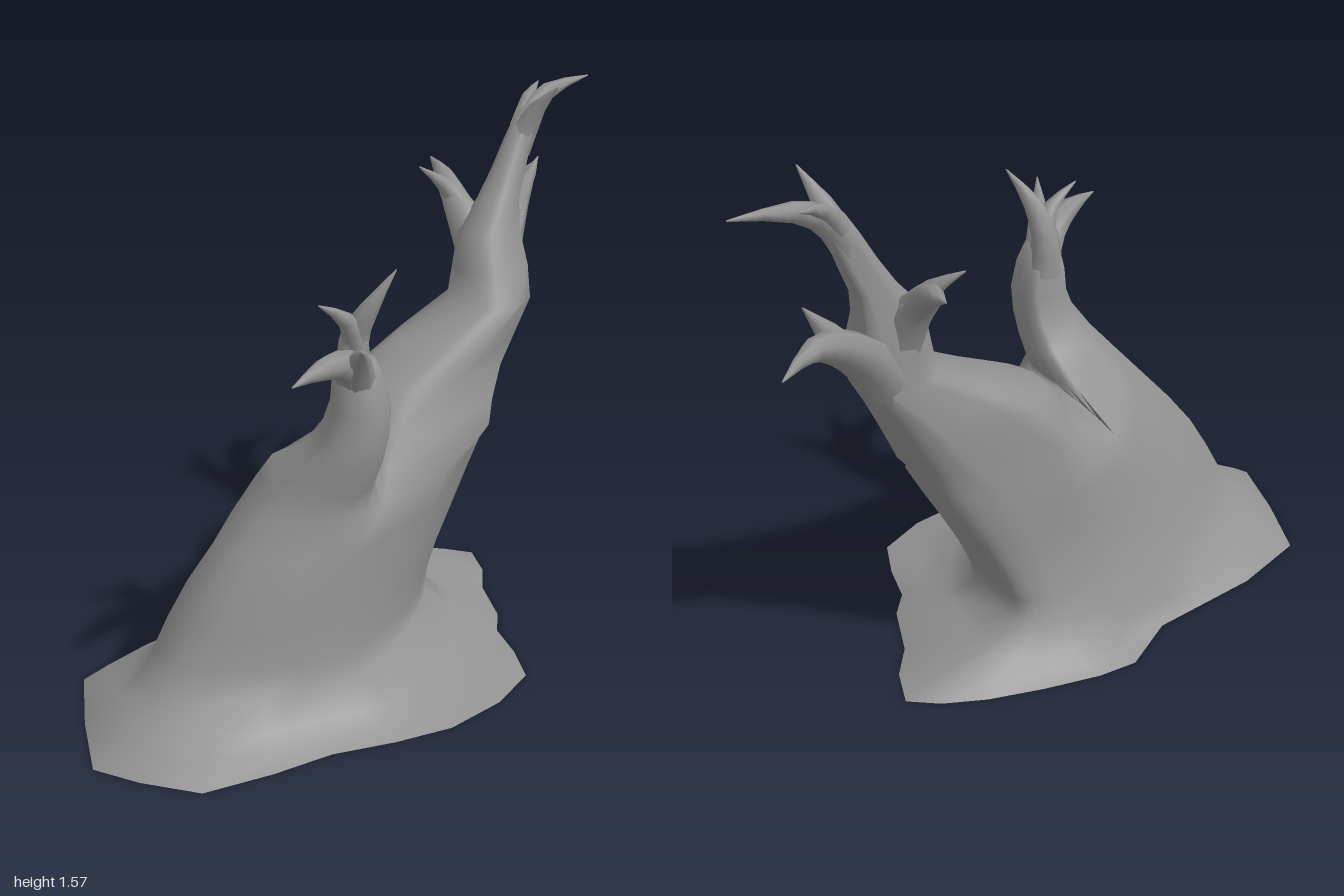
import * as THREE from 'three';
import { mergeGeometries, mergeVertices } from 'three/addons/utils/BufferGeometryUtils.js';

const V = (x, y, z) => new THREE.Vector3(x, y, z);
const material = new THREE.MeshStandardMaterial({ color: 0x929292, side: THREE.DoubleSide });

// Skin a list of rings (arrays of points, all the same length), closing the last one if asked
function loft(rings, closeEnd = true) {
  const n = rings[0].length;
  const pos = rings.flat().flatMap((p) => [p.x, p.y, p.z]);
  const index = [];
  for (let i = 0; i < rings.length - 1; i++) {
    for (let j = 0; j < n; j++) {
      const a = i * n + j, b = i * n + (j + 1) % n;
      index.push(a, a + n, b, b, a + n, b + n);
    }
  }
  if (closeEnd) {
    const last = rings[rings.length - 1];
    const c = last.reduce((s, p) => s.add(p), V(0, 0, 0)).divideScalar(n);
    pos.push(c.x, c.y, c.z);
    const o = (rings.length - 1) * n;
    for (let j = 0; j < n; j++) index.push(o + j, rings.length * n, o + (j + 1) % n);
  }
  const g = new THREE.BufferGeometry();
  g.setAttribute('position', new THREE.Float32BufferAttribute(pos, 3));
  g.setIndex(index);
  return g;
}

function part(name, geometry) {
  geometry.computeVertexNormals();
  const mesh = new THREE.Mesh(geometry, material);
  mesh.name = name;
  return mesh;
}

// Horizontal section from its extents, where the front, left, back and right extremes sit,
// and one squareness exponent per quadrant (1 straight, 2 round, more is boxier)
function section([y, x0, x1, z0, z1, xF = (x0 + x1) / 2, zL = (z0 + z1) / 2, xB = xF, zR = zL], angles, squareness) {
  return angles.map((t) => {
    const c = Math.cos(t), s = Math.sin(t);
    const quadrant = s >= 0 ? (c >= 0 ? 0 : 1) : (c < 0 ? 2 : 3);
    const e = 2 / squareness[quadrant];
    const xm = s >= 0 ? xF : xB, zm = c >= 0 ? zR : zL;
    return V(xm + ((c >= 0 ? x1 : x0) - xm) * Math.abs(c) ** e, y,
      zm + ((s >= 0 ? z1 : z0) - zm) * Math.abs(s) ** e);
  });
}

// Trunk that grows out of an arbitrary base ring into a stack of sections
function trunk(base, sections, squareness) {
  const box = new THREE.Box3().setFromPoints(base);
  const c = box.getCenter(V(0, 0, 0)), s = box.getSize(V(0, 0, 0));
  const angles = base.map((p) => Math.atan2((p.z - c.z) / s.z, (p.x - c.x) / s.x));
  return loft([base, ...sections.map((o) => section(o, angles, squareness))]);
}

// Tapering limb along [x, y, z, radius] points
function limb(stops, sides = 7) {
  const curve = new THREE.CatmullRomCurve3(stops.map((s) => V(s[0], s[1], s[2])));
  const steps = (stops.length - 1) * 2;
  const rings = [];
  for (let i = 0; i <= steps; i++) {
    const t = i / steps, f = t * (stops.length - 1);
    const k = Math.min(Math.floor(f), stops.length - 2);
    const r = THREE.MathUtils.lerp(stops[k][3], stops[k + 1][3], f - k);
    const c = curve.getPoint(t), axis = curve.getTangent(t);
    const u = V(0, 0, 1).addScaledVector(axis, -axis.z).normalize();
    const v = u.clone().cross(axis);
    rings.push(Array.from({ length: sides }, (_, j) => {
      const a = (j / sides) * Math.PI * 2;
      return c.clone().addScaledVector(u, r * Math.cos(a)).addScaledVector(v, r * Math.sin(a));
    }));
  }
  return loft(rings);
}

export function createModel() {
  const group = new THREE.Group();
  group.name = 'treeStump';

  // Irregular rim of the root flare (x, z)
  const rim = [
    [0.47, -0.08], [0.41, 0.09], [0.35, 0.17], [0.32, 0.3], [0.27, 0.43], [0.12, 0.51], [-0.07, 0.55],
    [-0.24, 0.53], [-0.42, 0.49], [-0.6, 0.49], [-0.8, 0.47], [-0.92, 0.34], [-1, 0.22], [-0.93, 0],
    [-0.84, -0.22], [-0.6, -0.31], [-0.42, -0.34], [-0.24, -0.37], [-0.07, -0.48], [0.05, -0.48],
    [0.22, -0.45], [0.38, -0.41], [0.5, -0.36], [0.58, -0.3], [0.54, -0.18],
  ];
  const rimAngles = rim.map(([x, z]) => Math.atan2((z - 0.05) / 0.5, (x + 0.22) / 0.78));

  // Stump body with its flared, open foot
  const [foot, ...body] = [
    [0.14, -0.8, 0.22, -0.355, 0.365, -0.3, 0.07, -0.05, -0.06],
    [0.21, -0.74, 0.23, -0.33, 0.35, -0.3, 0.06, -0.03, -0.06],
    [0.3, -0.69, 0.27, -0.31, 0.34, -0.29, 0.06, 0, -0.06],
    [0.4, -0.63, 0.325, -0.3, 0.33, -0.27, 0.07, 0.02, -0.06],
    [0.5, -0.55, 0.385, -0.3, 0.32, -0.24, 0.08, 0.04, -0.07],
    [0.6, -0.46, 0.44, -0.295, 0.31, -0.2, 0.1, 0.06, -0.07],
  ].map((s) => section(s, rimAngles, [1.4, 2, 1.4, 5]));
  const rimRing = rim.map(([x, z]) => V(x, 0.01, z));
  const flares = [[0.7, 0.03, 0.025], [0.35, 0.065, 0.03]].map(([mix, y, lift]) => foot.map((p, j) => {
    const q = p.clone().lerp(rimRing[j], mix);
    q.y = y + lift * THREE.MathUtils.smoothstep(Math.abs(q.x + 0.2), 0.35, 0.6);
    return q;
  }));

  // The body's top ring splits along a crotch line into the two trunks
  const top = body[body.length - 1];
  const front = 6, back = 15;
  const crotch = [1, 2, 3, 4, 5].map((i) => {
    const p = top[front].clone().lerp(top[back], i / 6);
    p.y += 0.03 * Math.sin((i / 6) * Math.PI);
    return p;
  });

  // Leaning main trunk narrowing into the upper branch
  const mainTrunk = trunk([...top.slice(back), ...top.slice(0, front + 1), ...crotch], [
    [0.66, -0.09, 0.475, -0.3, 0.22, -0.02, 0, 0.13, -0.08],
    [0.72, -0.05, 0.505, -0.3, 0.15, 0.07, -0.05, 0.2, -0.1],
    [0.8, 0.03, 0.545, -0.3, 0.08, 0.2, -0.11, 0.27, -0.12],
    [0.88, 0.2, 0.585, -0.295, 0.04, 0.36, -0.14, 0.37, -0.13],
    [0.97, 0.39, 0.635, -0.285, 0.0, 0.51, -0.14],
    [1.06, 0.415, 0.65, -0.285, -0.05],
    [1.16, 0.44, 0.64, -0.28, -0.1],
    [1.25, 0.52, 0.65, -0.275, -0.145],
    [1.33, 0.575, 0.685, -0.275, -0.175],
    [1.42, 0.63, 0.72, -0.28, -0.2],
    [1.48, 0.67, 0.745, -0.28, -0.215],
  ], [1.7, 2, 2, 3.6]);

  // Short side trunk at the front
  const sideTrunk = trunk([...top.slice(front, back + 1), ...crotch.slice().reverse()], [
    [0.67, -0.4, -0.115, -0.06, 0.32, -0.22, 0.12],
    [0.74, -0.345, -0.11, 0.06, 0.335, -0.21],
    [0.81, -0.3, -0.105, 0.13, 0.345],
    [0.89, -0.27, -0.1, 0.145, 0.34],
    [0.97, -0.265, -0.115, 0.16, 0.325],
    [1.03, -0.24, -0.14, 0.18, 0.3],
  ], [2, 2, 2, 2]);

  // Weld the body and both trunks so the surface flows through the split
  const shell = loft([rimRing, ...flares, foot, ...body], false);
  group.add(part('stump', mergeVertices(mergeGeometries([shell, mainTrunk, sideTrunk]))));

  // Branches and their twigs
  const limbs = {
    upperBranch: [[0.66, 1.38, -0.235, 0.045], [0.71, 1.46, -0.25, 0.042],
      [0.82, 1.53, -0.3, 0.027], [1.0, 1.555, -0.33, 0.002]],
    upperTwig: [[0.68, 1.42, -0.24, 0.04], [0.71, 1.5, -0.21, 0.027], [0.74, 1.58, -0.14, 0.002]],
    upperBackTwig: [[0.69, 1.45, -0.26, 0.03], [0.75, 1.52, -0.3, 0.022], [0.83, 1.55, -0.36, 0.002]],
    lowerBranch: [[0.49, 0.86, -0.19, 0.07], [0.575, 1.0, -0.215, 0.08], [0.67, 1.11, -0.29, 0.06],
      [0.76, 1.185, -0.36, 0.045], [0.85, 1.23, -0.43, 0.03], [0.98, 1.235, -0.55, 0.002]],
    lowerTwig: [[0.72, 1.15, -0.33, 0.045], [0.78, 1.23, -0.35, 0.03], [0.84, 1.31, -0.36, 0.002]],
    backBranch: [[0.53, 1.0, -0.18, 0.08], [0.51, 1.14, -0.24, 0.065], [0.5, 1.22, -0.31, 0.045],
      [0.515, 1.28, -0.4, 0.032], [0.54, 1.315, -0.52, 0.002]],
    backTwig: [[0.51, 1.2, -0.28, 0.04], [0.48, 1.27, -0.34, 0.025], [0.42, 1.325, -0.4, 0.002]],
    sideOuterTwig: [[-0.18, 0.94, 0.24, 0.06], [-0.25, 1.035, 0.29, 0.045], [-0.36, 1.07, 0.36, 0.03], [-0.49, 1.07, 0.43, 0.002]],
    sideFrontTwig: [[-0.2, 0.97, 0.27, 0.05], [-0.24, 1.06, 0.34, 0.033], [-0.31, 1.14, 0.47, 0.002]],
    sideTallTwig: [[-0.18, 0.95, 0.21, 0.055], [-0.18, 1.07, 0.21, 0.042], [-0.16, 1.16, 0.25, 0.028], [-0.09, 1.27, 0.28, 0.002]],
    sideForkTwig: [[-0.18, 1.06, 0.22, 0.035], [-0.22, 1.14, 0.24, 0.024], [-0.31, 1.2, 0.25, 0.002]],
  };
  for (const [name, stops] of Object.entries(limbs)) group.add(part(name, limb(stops)));

  return group;
}
